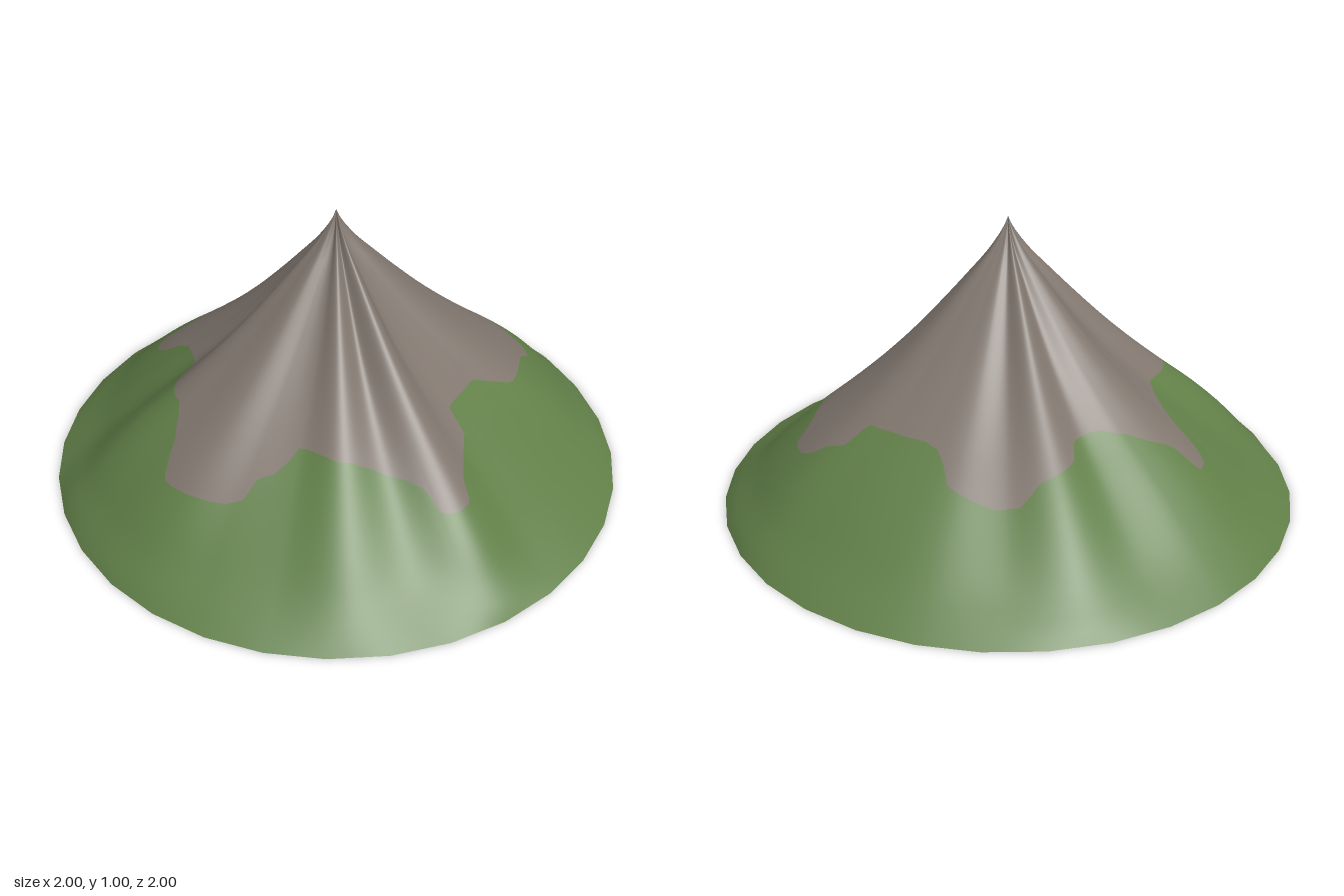
import * as THREE from 'three';

const COLS = 384, ROCK_ROWS = 24, GRASS_ROWS = 12, SIDES = 32;

// Ridge radius at heights 0, 0.1 ... 1
const profile = new THREE.SplineCurve(
  [1, 0.905, 0.81, 0.7, 0.575, 0.455, 0.345, 0.245, 0.15, 0.06, 0]
    .map((r, i) => new THREE.Vector2(i / 10, r)));

// Gully depth every 15 degrees, from +x towards +z
const gullies = new THREE.CatmullRomCurve3(
  [0, 0.01, 0.03, 0.09, 0.115, 0.1, 0.01, 0.1, 0.035, 0.09, 0.08, 0.02,
    0.01, 0, 0.08, 0.07, 0.03, 0.05, 0.09, 0.02, 0.08, 0.06, 0.055, 0.035]
    .map((d) => new THREE.Vector3(0, d, 0)), true, 'catmullrom', 0.5);

// Height of the line between rock and grass: [degrees, height]
const border = [
  [0, 0.32], [4, 0.28], [8, 0.26], [15, 0.255], [18, 0.29], [21, 0.31], [27, 0.32],
  [36, 0.33], [40, 0.36], [46, 0.4], [68, 0.4], [70, 0.34], [74, 0.325], [81, 0.31],
  [84, 0.3], [85.5, 0.26], [94.5, 0.26], [96, 0.31], [100, 0.325], [105, 0.33],
  [113, 0.37], [117, 0.39], [125, 0.4], [136, 0.395], [139, 0.36], [143, 0.33], [147, 0.32],
  [149, 0.27], [153, 0.255], [172, 0.26], [175, 0.3], [178, 0.34], [184, 0.38], [188, 0.4],
  [211, 0.4], [225, 0.37], [229, 0.33], [231, 0.28], [234, 0.25], [239.5, 0.25],
  [241.5, 0.32], [244, 0.34], [254, 0.39], [262, 0.41], [275, 0.4], [277, 0.37],
  [284, 0.36], [290, 0.34], [296, 0.28], [302, 0.27], [309, 0.29], [317, 0.32],
  [320, 0.36], [324, 0.39], [330, 0.4], [353, 0.4], [355, 0.34], [360, 0.32],
];

function borderHeight(deg) {
  const i = Math.max(1, border.findIndex((p) => p[0] >= deg));
  const [a, ya] = border[i - 1], [b, yb] = border[i];
  return THREE.MathUtils.mapLinear(deg, a, b, ya, yb);
}

function radiusAt(u, y) {
  const bulge = y <= 0 || y >= 1 ? 0 : Math.sin(Math.PI * Math.pow(y, 0.7));
  return Math.max(0, profile.getPoint(y).y - gullies.getPoint(u).y * bulge);
}

export function createModel() {
  // Rings from the peak to the border, then from the border to the foot
  const rows = ROCK_ROWS + GRASS_ROWS;
  const positions = [];
  for (let i = 0; i <= rows; i++) {
    for (let j = 0; j < COLS; j++) {
      const u = j / COLS, angle = u * Math.PI * 2;
      const edge = borderHeight(u * 360);
      const y = i <= ROCK_ROWS
        ? 1 - (1 - edge) * (i / ROCK_ROWS)
        : edge * (rows - i) / GRASS_ROWS;
      const r = radiusAt(u, y);
      positions.push(r * Math.cos(angle), y, r * Math.sin(angle));
    }
  }
  const bands = (from, to) => {
    const index = [];
    for (let i = from; i < to; i++) {
      for (let j = 0; j < COLS; j++) {
        const k = (j + 1) % COLS;
        const a = i * COLS + j, b = i * COLS + k, c = a + COLS, d = b + COLS;
        if (i > 0) index.push(a, b, c);
        index.push(b, d, c);
      }
    }
    return index;
  };

  // Smooth normals over the whole slope, shared by both parts
  const slope = new THREE.BufferGeometry();
  slope.setAttribute('position', new THREE.Float32BufferAttribute(positions, 3));
  slope.setIndex(bands(0, rows));
  slope.computeVertexNormals();

  // Pull the rings onto a 32-sided outline
  const pos = slope.attributes.position, step = Math.PI * 2 / SIDES;
  for (let n = 0; n < pos.count; n++) {
    const angle = (n % COLS) / COLS * Math.PI * 2;
    const f = Math.cos(step / 2) / Math.cos((angle % step) - step / 2);
    pos.setX(n, pos.getX(n) * f);
    pos.setZ(n, pos.getZ(n) * f);
  }

  const rock = new THREE.MeshStandardMaterial({ color: 0x80766e, side: THREE.DoubleSide });
  rock.name = 'rock';
  const grass = new THREE.MeshStandardMaterial({ color: 0x617f48, side: THREE.DoubleSide });
  grass.name = 'grass';

  const group = new THREE.Group();
  group.name = 'mountain';
  const addPart = (name, from, to, material) => {
    const geometry = slope.clone();
    geometry.setIndex(bands(from, to));
    const mesh = new THREE.Mesh(geometry, material);
    mesh.name = name;
    group.add(mesh);
  };
  addPart('rockyPeak', 0, ROCK_ROWS, rock);
  addPart('grassySlope', ROCK_ROWS, rows, grass);
  return group;
}
